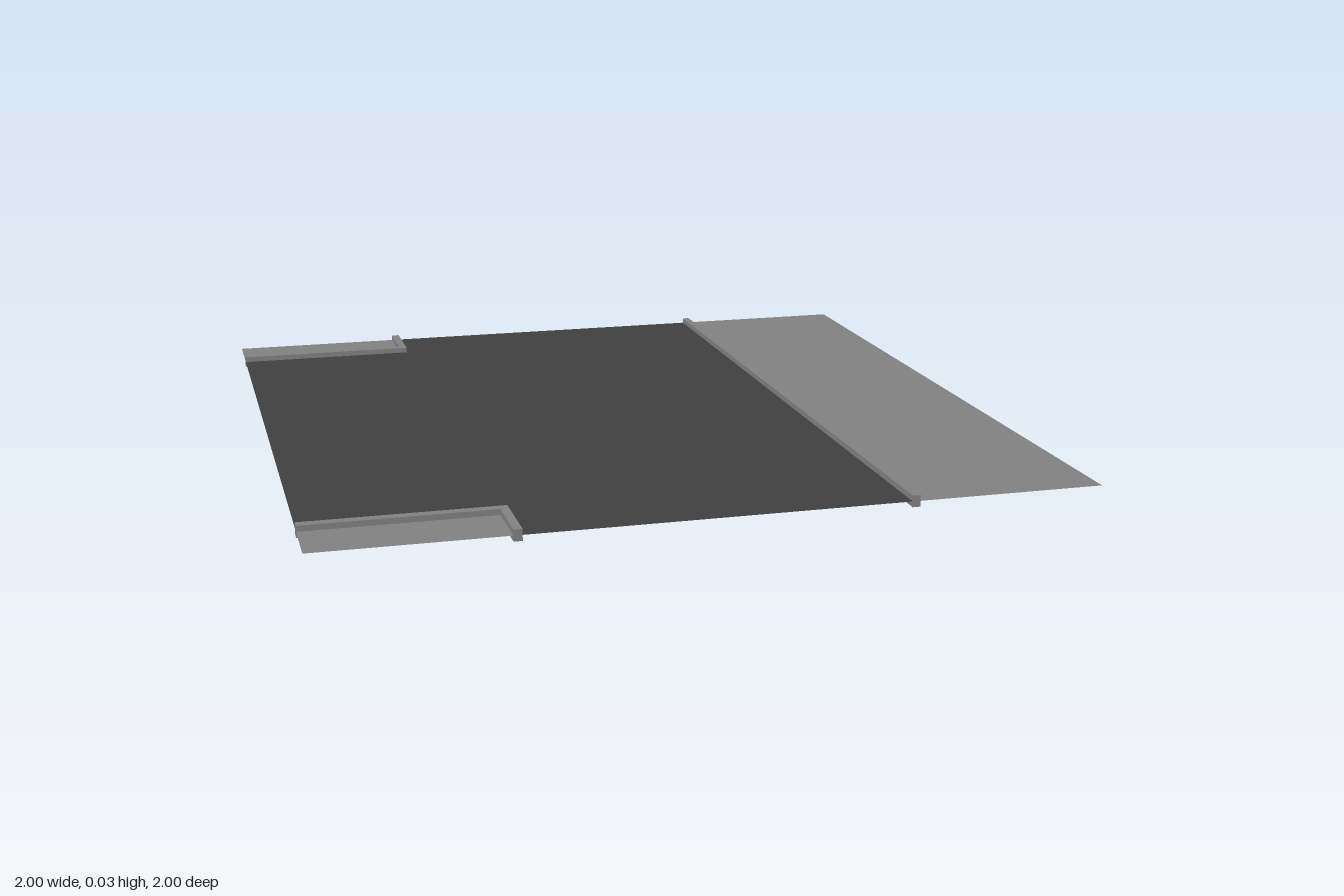
import * as THREE from 'three';

const H = 0.03;        // curb height
const MID = H / 2;     // level of the paved surfaces

export function createModel() {
  const group = new THREE.Group();
  const asphalt = new THREE.MeshStandardMaterial({ color: 0x3f3f3f, side: THREE.DoubleSide });
  asphalt.name = 'asphalt';
  const concrete = new THREE.MeshStandardMaterial({ color: 0x808080, side: THREE.DoubleSide });
  concrete.name = 'concrete';

  // Outline given as [x, z] pairs, laid flat facing up
  const outline = (pts) => new THREE.Shape(pts.map(([x, z]) => new THREE.Vector2(x, -z)));
  const add = (name, geometry, material, y) => {
    geometry.rotateX(-Math.PI / 2);
    const mesh = new THREE.Mesh(geometry, material);
    mesh.name = name;
    mesh.position.y = y;
    group.add(mesh);
  };
  const slab = (name, pts, material) => add(name, new THREE.ShapeGeometry(outline(pts)), material, MID);
  const curb = (name, pts) =>
    add(name, new THREE.ExtrudeGeometry(outline(pts), { depth: H, bevelEnabled: false }), concrete, 0);

  // T-junction road surface, ending under the middle of each curb
  const cx = -0.5, cz = 0.832, sx = 0.498;
  slab('road', [[-1, -cz], [cx, -cz], [cx, -1], [sx, -1], [sx, 1], [cx, 1], [cx, cz], [-1, cz]], asphalt);

  // Long pavement and its straight curb
  slab('longPavement', [[sx, -1], [1, -1], [1, 1], [sx, 1]], concrete);
  curb('longCurb', [[0.488, -1], [0.508, -1], [0.508, 1], [0.488, 1]]);

  // Corner pavements with L-shaped curbs at front and back
  for (const [side, s] of [['front', 1], ['back', -1]]) {
    slab(side + 'CornerPavement', [[-1, s * cz], [cx, s * cz], [cx, s], [-1, s]], concrete);
    curb(side + 'CornerCurb', [
      [-1, s * 0.82], [-0.49, s * 0.82], [-0.49, s],
      [-0.512, s], [-0.512, s * 0.846], [-1, s * 0.846],
    ]);
  }
  return group;
}
